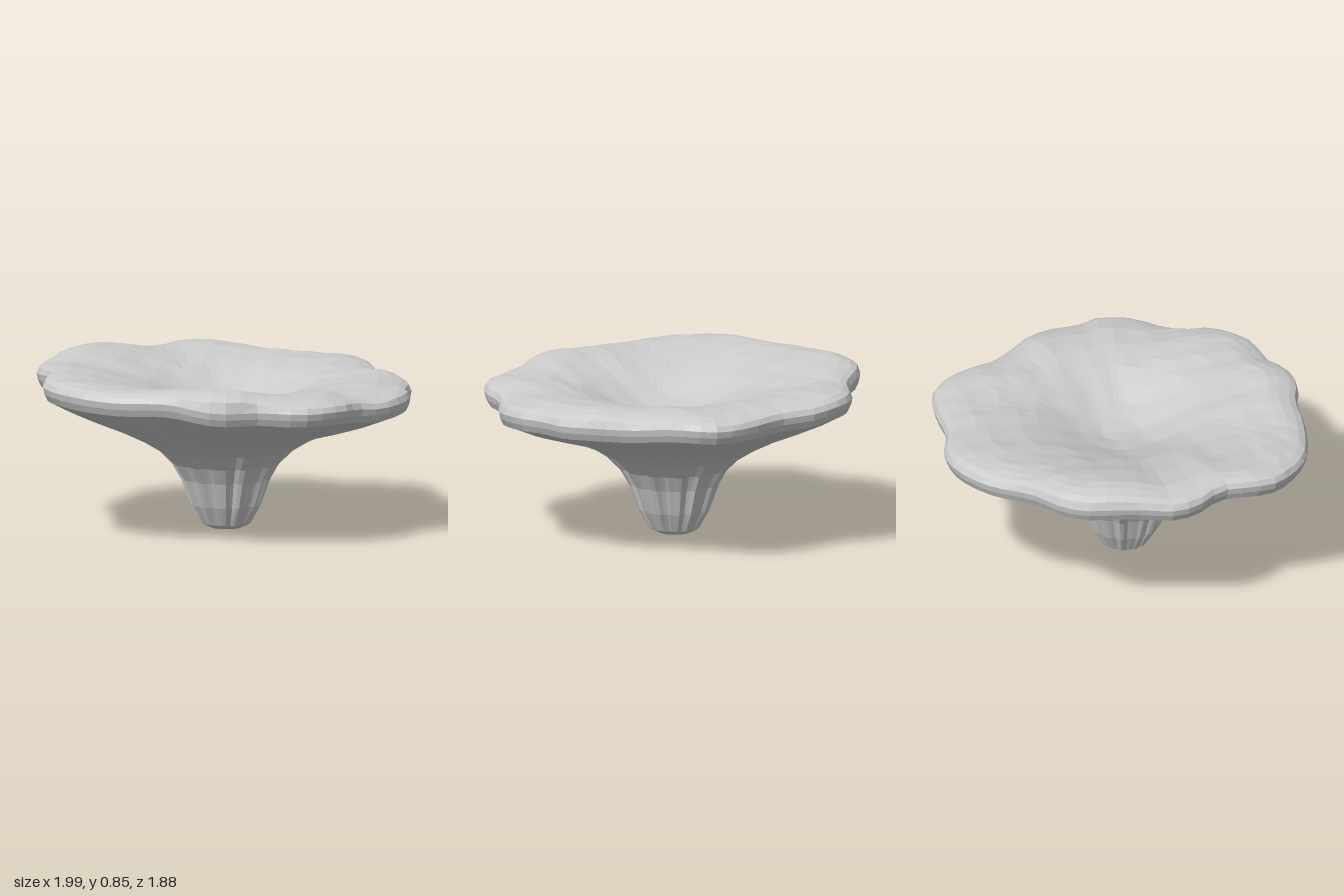
import * as THREE from 'three';

const SEGMENTS = 72;

// Wavy outline of the cap seen from above, [x, z], running from +x towards +z
const OUTLINE = [
  [0.99, -0.07], [0.96, 0.06], [0.86, 0.22], [0.77, 0.38], [0.7, 0.58], [0.63, 0.68], [0.52, 0.75],
  [0.45, 0.84], [0.33, 0.9], [0.2, 0.92], [0, 0.89], [-0.1, 0.93], [-0.24, 0.93], [-0.38, 0.88],
  [-0.47, 0.78], [-0.55, 0.69], [-0.66, 0.63], [-0.74, 0.53], [-0.79, 0.37], [-0.89, 0.2],
  [-0.96, 0.04], [-1, -0.12], [-0.95, -0.36], [-0.85, -0.46], [-0.71, -0.55], [-0.64, -0.69],
  [-0.55, -0.78], [-0.39, -0.84], [-0.24, -0.9], [-0.12, -0.94], [0, -0.94], [0.1, -0.9],
  [0.22, -0.85], [0.47, -0.83], [0.63, -0.76], [0.74, -0.62], [0.79, -0.44], [0.92, -0.24],
];

// Rings of each part: [radius, height, how far the ring follows the outline, fluting]
const PARTS = {
  stem: [[0, 0, 0, 0], [0.08, 0.002, 0, 0], [0.122, 0.025, 0, 0.03], [0.172, 0.12, 0, 0.045],
    [0.218, 0.25, 0, 0.045], [0.265, 0.33, 0.1, 0.045], [0.335, 0.4, 0.2, 0.045]],
  capUnderside: [[0.335, 0.4, 0.2, 0.045], [0.43, 0.457, 0.35, 0.04], [0.54, 0.505, 0.5, 0.03],
    [0.69, 0.555, 0.7, 0.02], [0.84, 0.608, 0.9, 0.01], [0.975, 0.667, 1, 0]],
  rim: [[0.975, 0.667, 1, 0], [0.993, 0.702, 1, 0], [1, 0.735, 1, 0], [0.985, 0.762, 1, 0],
    [0.95, 0.777, 1, 0], [0.89, 0.787, 1, 0]],
  bowl: [[0.89, 0.787, 1, 0], [0.82, 0.79, 0.9, 0], [0.74, 0.786, 0.8, 0], [0.65, 0.776, 0.7, 0],
    [0.55, 0.76, 0.6, 0], [0.45, 0.736, 0.5, 0], [0.34, 0.697, 0.4, 0], [0.22, 0.65, 0.3, 0],
    [0.1, 0.62, 0.2, 0], [0, 0.613, 0, 0]],
};

// Raised lumps on the upper side: [x, z, height, width]
const LUMPS = [[-0.58, 0.52, 0.045, 0.18], [0.62, 0.45, 0.022, 0.16], [-0.12, -0.74, 0.028, 0.25]];

const curve = new THREE.CatmullRomCurve3(OUTLINE.map(([x, z]) => new THREE.Vector3(x, 0, z)), true);
const rimPoints = curve.getSpacedPoints(SEGMENTS).slice(0, SEGMENTS);

function ringPoint([radius, height, follow, flute], p, onTop) {
  const angle = Math.atan2(p.z, p.x);
  const reach = THREE.MathUtils.lerp(1, Math.hypot(p.x, p.z), follow);
  const ribs = Math.sin(angle * 13 + 0.6) + 0.6 * Math.sin(angle * 21 + 2);
  const r = radius * reach * (1 + flute * ribs);
  let x = r * Math.cos(angle), z = r * Math.sin(angle);
  // The cap leans: higher at the back and on the -x side, with a rippled edge
  const weight = THREE.MathUtils.smoothstep(radius, 0.3, 0.95);
  let y = height + weight * (-0.028 * x - 0.04 * z
    + 0.007 * Math.sin(angle * 7 + 1) + 0.004 * Math.sin(angle * 12));
  if (onTop) {
    for (const [lx, lz, h, w] of LUMPS) y += h * Math.exp(-((x - lx) ** 2 + (z - lz) ** 2) / (w * w));
    // Fine unevenness of the skin
    if (radius > 0) y += 0.004 * Math.sin(x * 23 + z * 5) * Math.sin(z * 27 - x * 4);
    // The hollow sits slightly forward of the stem
    const shift = 1 - THREE.MathUtils.smoothstep(radius, 0.1, 0.89);
    x += 0.03 * shift;
    z += 0.05 * shift;
  }
  return [x, y, z];
}

// Joins consecutive rings into a faceted band
function band(name, rings, material) {
  const positions = [], index = [];
  rings.forEach((ring, i) => {
    const onTop = name === 'bowl' || (name === 'rim' && i > 2);
    for (const p of rimPoints) positions.push(...ringPoint(ring, p, onTop));
  });
  for (let i = 0; i < rings.length - 1; i++) {
    for (let j = 0; j < SEGMENTS; j++) {
      const k = (j + 1) % SEGMENTS;
      const a = i * SEGMENTS + j, b = i * SEGMENTS + k, c = a + SEGMENTS, d = b + SEGMENTS;
      if (rings[i][0] > 0) index.push(a, c, b);
      if (rings[i + 1][0] > 0) index.push(b, c, d);
    }
  }
  const geometry = new THREE.BufferGeometry();
  geometry.setAttribute('position', new THREE.Float32BufferAttribute(positions, 3));
  geometry.setIndex(index);
  geometry.computeVertexNormals();
  const mesh = new THREE.Mesh(geometry, material);
  mesh.name = name;
  return mesh;
}

export function createModel() {
  const group = new THREE.Group();
  group.name = 'mushroom';
  const material = new THREE.MeshStandardMaterial({ color: 0xcccccc, flatShading: true });
  for (const [name, rings] of Object.entries(PARTS)) group.add(band(name, rings, material));
  return group;
}
